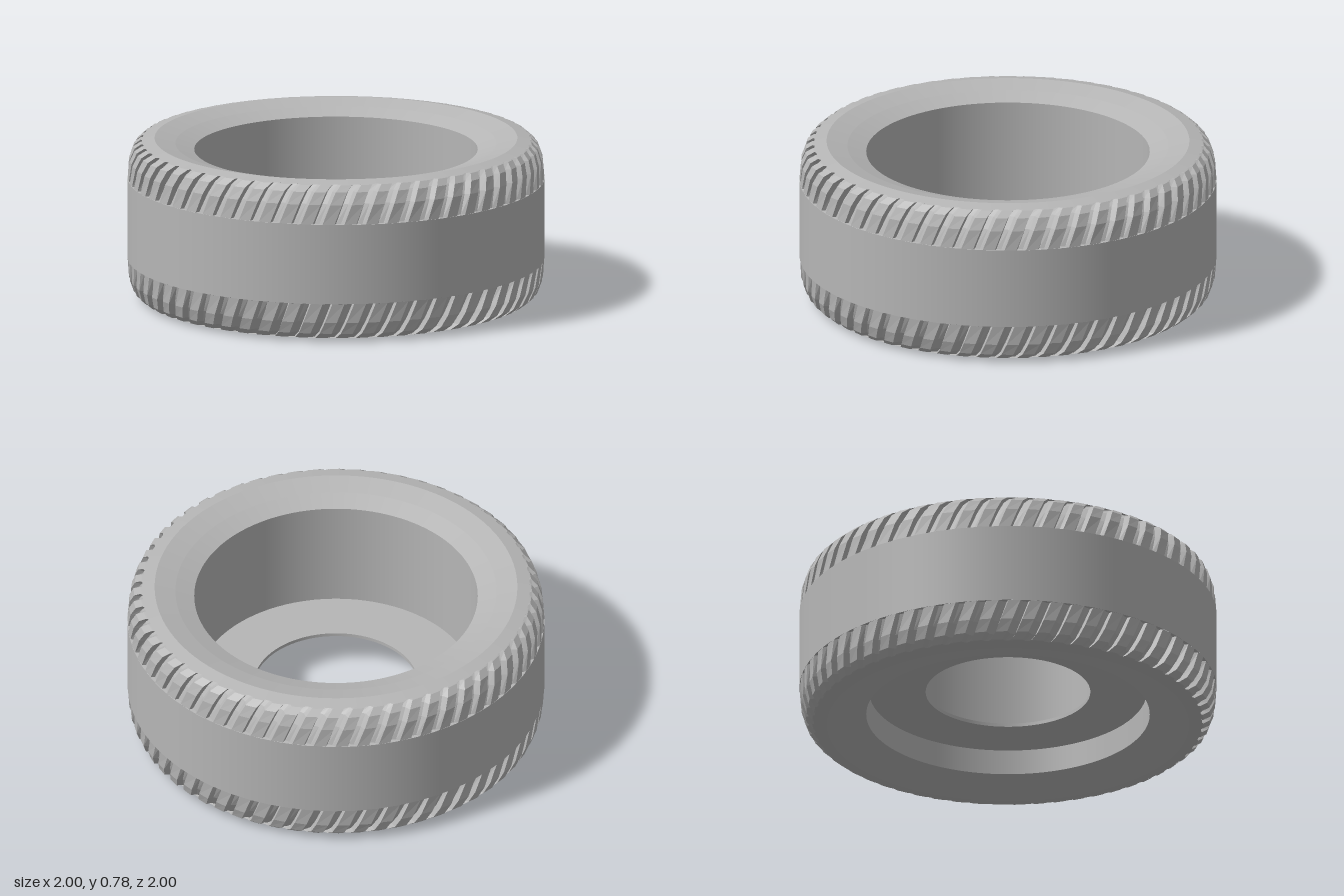
import * as THREE from 'three';

const HEIGHT = 0.78;
const LUGS = 60;

const rubber = new THREE.MeshStandardMaterial({ color: 0xb6b6b6 });
rubber.name = 'grey rubber';

// Adds one lathe band per profile segment, so bands are smooth around and sharp between
function addBands(parent, name, profile, segments = 120) {
  const group = new THREE.Group();
  group.name = name;
  for (let i = 0; i < profile.length - 1; i++) {
    const pts = [profile[i], profile[i + 1]].map(([r, y]) => new THREE.Vector2(r, y));
    const mesh = new THREE.Mesh(new THREE.LatheGeometry(pts, segments), rubber);
    mesh.name = name + 'Band' + (i + 1);
    group.add(mesh);
  }
  parent.add(group);
}

// Slanted lugs cut into the shoulder; rows run from the barrel edge up to the sidewall
function shoulderGeometry() {
  // radius, height, slant in lug pitches, groove depth
  const rows = [
    [1.0, 0.585, 0, 0],
    [1.0, 0.586, 0, 0.02],
    [0.993, 0.68, 0.35, 0.034],
    [0.972, 0.738, 0.6, 0.038],
    [0.94, 0.766, 0.85, 0.025],
    [0.93, 0.768, 0.9, 0],
  ];
  // position along one pitch, share of the groove depth
  const teeth = [[0, 0], [0.55, 0.1], [0.62, 1], [0.85, 0.7]];
  const n = LUGS * teeth.length;
  const positions = [];
  const index = [];
  for (const [r, y, slant, depth] of rows) {
    for (let i = 0; i < n; i++) {
      const [u, cut] = teeth[i % teeth.length];
      const a = ((Math.floor(i / teeth.length) + u + slant) / LUGS) * Math.PI * 2;
      const rad = r - depth * cut;
      positions.push(Math.sin(a) * rad, y, Math.cos(a) * rad);
    }
  }
  for (let j = 0; j < rows.length - 1; j++) {
    for (let i = 0; i < n; i++) {
      const k = (i + 1) % n;
      const a = j * n + i, b = j * n + k, c = b + n, d = a + n;
      index.push(a, b, c, a, c, d);
    }
  }
  const indexed = new THREE.BufferGeometry();
  indexed.setAttribute('position', new THREE.Float32BufferAttribute(positions, 3));
  indexed.setIndex(index);
  const flat = indexed.toNonIndexed();
  flat.computeVertexNormals();
  return flat;
}

export function createModel() {
  const model = new THREE.Group();
  model.name = 'tyre';

  // Plain centre of the tread
  addBands(model, 'treadBarrel', [[1, HEIGHT - 0.585], [1, 0.585]]);

  // Upper shoulder, and the same turned over for the lower one
  const lugs = shoulderGeometry();
  const upper = new THREE.Mesh(lugs, rubber);
  upper.name = 'upperShoulderLugs';
  const lower = new THREE.Mesh(lugs, rubber);
  lower.name = 'lowerShoulderLugs';
  lower.rotation.x = Math.PI;
  lower.position.y = HEIGHT;
  model.add(upper, lower);

  // Dished sidewalls joined by the inner wall
  const side = [[0.93, 0.768], [0.87, HEIGHT], [0.77, 0.755], [0.68, 0.725]];
  const underside = side.map(([r, y]) => [r, HEIGHT - y]).reverse();
  addBands(model, 'sidewall', [...side, ...underside]);

  // Thin ring plate set inside, with a narrow gap around it
  addBands(model, 'hubPlate', [
    [0.665, 0.173], [0.665, 0.19], [0.395, 0.19], [0.395, 0.173], [0.665, 0.173],
  ]);

  return model;
}
